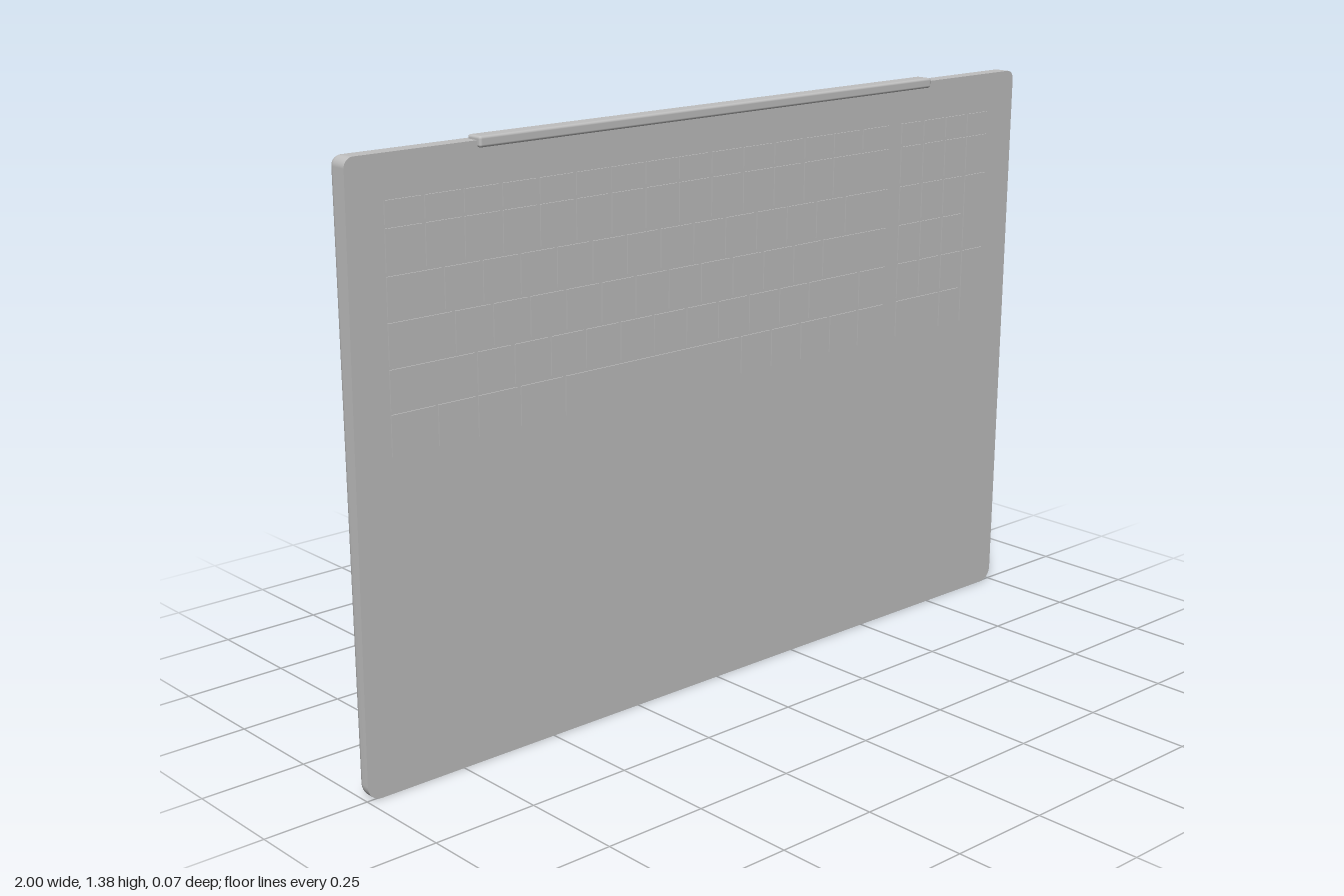
import * as THREE from 'three';
import { RoundedBoxGeometry } from 'three/addons/geometries/RoundedBoxGeometry.js';

const W = 2, H = 1.376, BACK = -0.033, ROUND = 0.02;
const SLOPE = 0.0142, FRONT0 = 0.005; // the front face leans forward towards the top
const frontZ = (y) => FRONT0 + SLOPE * y;

// Rounded rectangle outline, counter-clockwise from the front
function outline(inset) {
  const corners = [[1, 0, 0.035, -90], [1, 1, 0.022, 0], [-1, 1, 0.022, 90], [-1, 0, 0.035, 180]];
  const pts = [];
  for (const [sx, top, r, start] of corners) {
    const cx = sx * (W / 2 - r), cy = top ? H - r : r, rr = Math.max(r - inset, 0.001);
    for (let i = 0; i <= 8; i++) {
      const a = THREE.MathUtils.degToRad(start + (i / 8) * 90);
      pts.push([cx + Math.cos(a) * rr, cy + Math.sin(a) * rr]);
    }
  }
  return pts;
}

// Wall running from the sharp front edge over the rounded back edge
function wallGeometry() {
  const rings = [outline(0).map(([x, y]) => [x, y, frontZ(y)])];
  for (let i = 0; i <= 6; i++) {
    const a = (i / 6) * Math.PI / 2;
    const z = BACK + ROUND * (1 - Math.sin(a));
    rings.push(outline(ROUND * (1 - Math.cos(a))).map(([x, y]) => [x, y, z]));
  }
  const n = rings[0].length, index = [];
  for (let r = 0; r < rings.length - 1; r++) {
    for (let i = 0; i < n; i++) {
      const a = r * n + i, b = r * n + (i + 1) % n;
      index.push(a, a + n, b, b, a + n, b + n);
    }
  }
  const g = new THREE.BufferGeometry();
  g.setAttribute('position', new THREE.Float32BufferAttribute(rings.flat(2), 3));
  g.setIndex(index);
  g.computeVertexNormals();
  return g;
}

function capGeometry(inset) {
  return new THREE.ShapeGeometry(new THREE.Shape(outline(inset).map(([x, y]) => new THREE.Vector2(x, y))));
}

export function createModel() {
  const model = new THREE.Group();
  const grey = new THREE.MeshStandardMaterial({ color: 0xbfbfbf });
  grey.name = 'casing grey';

  function add(parent, geometry, name, x = 0, y = 0, z = 0) {
    const mesh = new THREE.Mesh(geometry, grey);
    mesh.name = name;
    mesh.position.set(x, y, z);
    parent.add(mesh);
    return mesh;
  }

  // Casing
  add(model, wallGeometry(), 'casingEdge');
  const deck = capGeometry(0), p = deck.attributes.position;
  for (let i = 0; i < p.count; i++) p.setZ(i, frontZ(p.getY(i)));
  deck.computeVertexNormals();
  add(model, deck, 'deck');
  add(model, capGeometry(ROUND).rotateY(Math.PI).scale(1, 1, 1), 'backPanel', 0, 0, BACK);

  // Hinge bar along the top edge
  add(model, new RoundedBoxGeometry(1.36, 0.024, 0.044, 3, 0.006), 'hingeBar', 0, 1.373, 0.013);

  // Long rubber feet on the back
  for (const [name, length, y] of [['upperFoot', 1.64, 1.335], ['lowerFoot', 1.48, 0.055]]) {
    add(model, new RoundedBoxGeometry(length, 0.022, 0.008, 3, 0.0035), name, 0, y, BACK);
  }

  // Keys, low blocks lying on the sloping deck
  const keyboard = new THREE.Group();
  keyboard.name = 'keyboard';
  keyboard.position.z = FRONT0;
  keyboard.rotation.x = Math.atan(SLOPE);
  model.add(keyboard);

  const GAP = 0.008, KEY_H = 0.003;
  function key(x0, x1, y0, y1) {
    const g = new THREE.BoxGeometry(x1 - x0 - GAP, y1 - y0 - GAP, KEY_H * 2);
    add(keyboard, g, 'key', (x0 + x1) / 2, (y0 + y1) / 2, 0);
  }

  const LEFT = -0.915, RIGHT = 0.548, U = (RIGHT - LEFT) / 15;
  const rowY = [1.285, 1.228, 1.13, 1.034, 0.937, 0.842, 0.745];
  const ones = (n) => Array(n).fill(1);
  // Key widths in units for each row; the last key fills up to the right
  const rows = [
    ones(14),
    ones(13),
    [1.45, ...ones(12)],
    [1.7, ...ones(11)],
    [2.25, ...ones(10), 1.75],
    [1.2, 1.05, 1.15, 1.25, 5.35, ...ones(4)],
  ];
  rows.forEach((widths, r) => {
    let x = LEFT;
    for (const w of widths) {
      key(x, x + w * U, rowY[r + 1], rowY[r]);
      x += w * U;
    }
    key(x, RIGHT, rowY[r + 1], rowY[r]);
  });

  // Number pad, with two tall keys on the right and one wide key at the bottom
  const padX = [0.586, 0.666, 0.746, 0.826, 0.908];
  for (let r = 0; r < 6; r++) {
    for (let c = 0; c < 3; c++) {
      if (r === 5 && c === 0) key(padX[0], padX[2], rowY[6], rowY[5]);
      else if (r < 5 || c === 2) key(padX[c], padX[c + 1], rowY[r + 1], rowY[r]);
    }
  }
  for (const [top, bottom] of [[0, 1], [1, 2], [2, 4], [4, 6]]) {
    key(padX[3], padX[4], rowY[bottom], rowY[top]);
  }

  return model;
}
